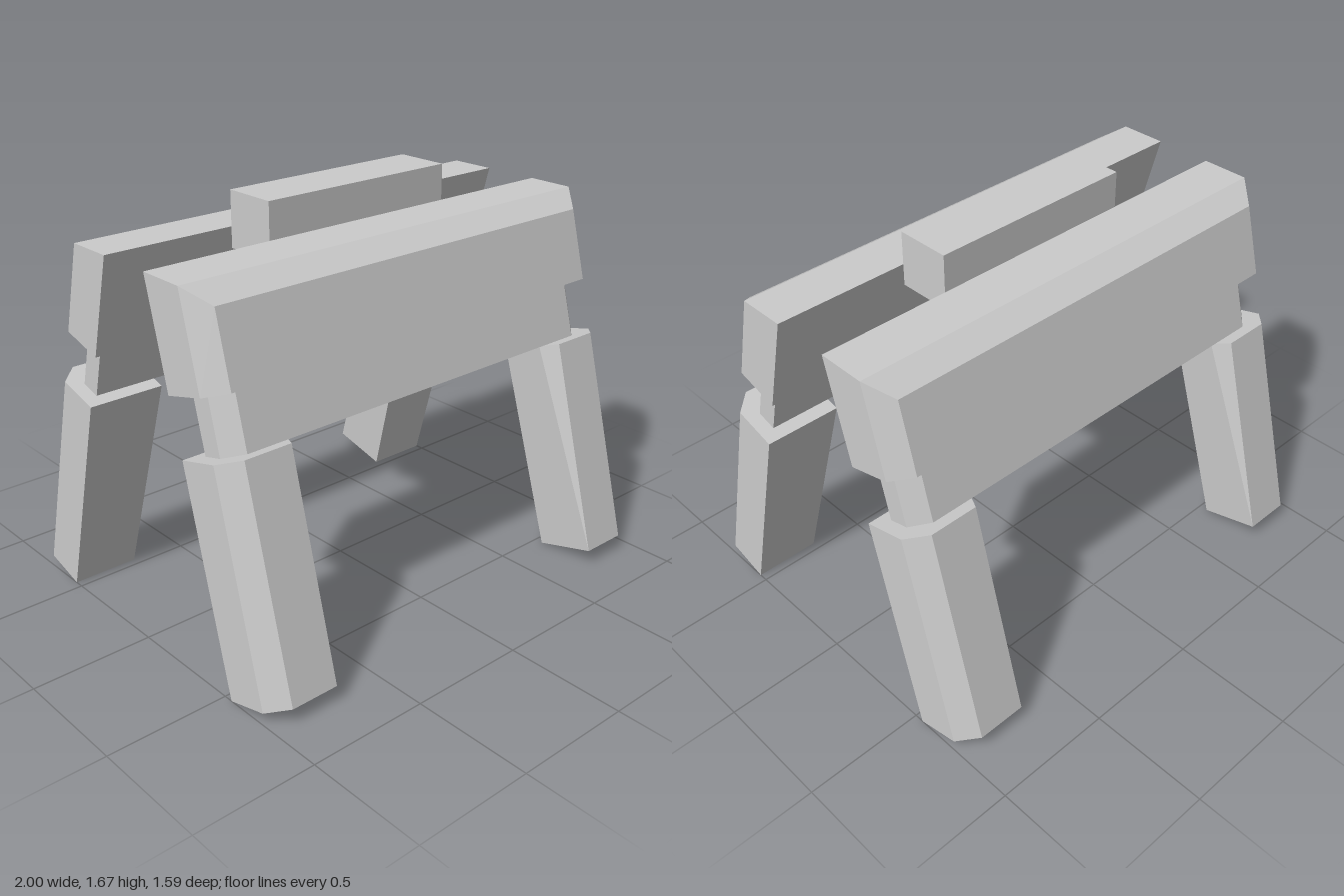
import * as THREE from 'three';
import { ConvexGeometry } from 'three/addons/geometries/ConvexGeometry.js';

const material = new THREE.MeshStandardMaterial({ color: 0xcccccc, flatShading: true });

// Convex solid from [x, y, z] corners
function solid(name, corners) {
  const mesh = new THREE.Mesh(
    new ConvexGeometry(corners.map((c) => new THREE.Vector3(...c))), material);
  mesh.name = name;
  return mesh;
}

// Full-length beam with chamfered outer ends; rows are [half length, y bottom, y top, z]
function beam(name, rows) {
  const corners = [];
  for (const [x, y0, y1, z] of rows)
    for (const s of [-1, 1]) corners.push([s * x, y0, z], [s * x, y1, z]);
  return solid(name, corners);
}

// Leg with a chamfered outer corner, widening inwards towards the top
function leg(name, s) {
  const h = 0.911;
  const bottom = [[0.717, 0], [1, 0], [1, 0.19], [0.922, 0.264], [0.717, 0.264]];
  const top = [[0.677, 0], [1, 0], [1, 0.19], [0.922, 0.264], [0.717, 0.264], [0.677, 0.19]];
  return solid(name, [
    ...bottom.map(([x, z]) => [s * x, 0, z]),
    ...top.map(([x, z]) => [s * x, h, z]),
  ]);
}

// One leaning side: two legs, a thin rail and the thick upper beam
function trestleSide(name) {
  const lean = new THREE.Group();
  lean.rotation.x = -THREE.MathUtils.degToRad(15);
  lean.position.z = 0.538;
  lean.add(
    leg('leftLeg', 1),
    leg('rightLeg', -1),
    beam('rail', [[0.94, 0.911, 1.16, 0.056], [0.94, 0.911, 1.16, 0.145], [0.867, 0.911, 1.16, 0.206]]),
    beam('upperBeam', [[1, 1.144, 1.58, -0.005], [1, 1.144, 1.527, 0.19], [0.922, 1.144, 1.44, 0.264]]),
  );
  const side = new THREE.Group();
  side.name = name;
  side.add(lean);
  return side;
}

export function createModel() {
  const model = new THREE.Group();
  model.name = 'trestle';

  const front = trestleSide('frontSide');
  const back = trestleSide('backSide');
  back.rotation.y = Math.PI;

  // Block joining both sides at the top
  const block = new THREE.Mesh(new THREE.BoxGeometry(0.894, 0.227, 0.23), material);
  block.name = 'topBlock';
  block.position.y = 1.557;

  model.add(front, back, block);
  return model;
}
